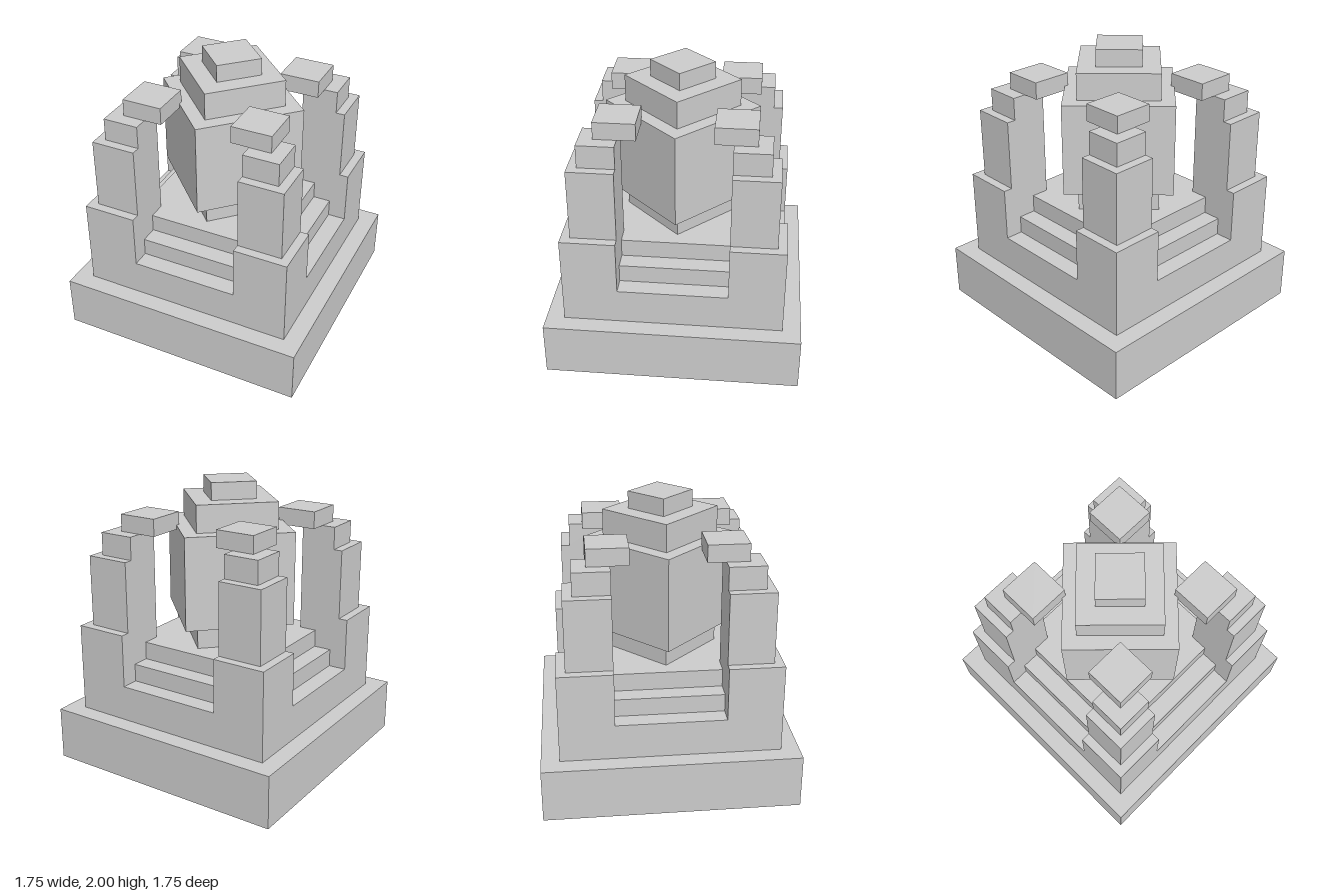
import * as THREE from 'three';

export function createModel() {
  const model = new THREE.Group();
  model.name = 'shrine';
  const stone = new THREE.MeshStandardMaterial({ color: 0xcccccc });
  stone.name = 'grey stone';

  // Square block centred on (x, z), spanning y0 to y1
  function block(parent, name, size, y0, y1, x = 0, z = 0, turn = 0) {
    const mesh = new THREE.Mesh(new THREE.BoxGeometry(size, y1 - y0, size), stone);
    mesh.name = name;
    mesh.position.set(x, (y0 + y1) / 2, z);
    mesh.rotation.y = turn;
    parent.add(mesh);
  }

  // Stepped platform: half width, bottom, top
  const platform = new THREE.Group();
  platform.name = 'platform';
  model.add(platform);
  [
    ['base', 0.875, 0, 0.375],
    ['lowerTerrace', 0.75, 0.375, 0.625],
    ['middleStep', 0.625, 0.625, 0.75],
    ['upperStep', 0.5, 0.75, 0.875],
  ].forEach(([name, half, y0, y1]) => block(platform, name, half * 2, y0, y1));

  // Four corner pillars: inner edge, outer edge, bottom, top
  const tiers = [
    ['pillarFoot', 0.375, 0.75, 0.625, 1],
    ['pillarShaft', 0.375, 0.6875, 1, 1.5],
    ['pillarNeck', 0.375, 0.625, 1.5, 1.66],
    ['pillarCap', 0.25, 0.53, 1.66, 1.78],
  ];
  for (const sx of [-1, 1]) {
    for (const sz of [-1, 1]) {
      const pillar = new THREE.Group();
      pillar.name = (sz > 0 ? 'front' : 'back') + (sx > 0 ? 'Left' : 'Right') + 'Pillar';
      model.add(pillar);
      for (const [name, inner, outer, y0, y1] of tiers) {
        const mid = (inner + outer) / 2;
        block(pillar, name, outer - inner, y0, y1, sx * mid, sz * mid);
      }
    }
  }

  // Central monument turned by 45 degrees: half diagonal, bottom, top
  const monument = new THREE.Group();
  monument.name = 'monument';
  model.add(monument);
  [
    ['monumentFoot', 0.395, 0.875, 1.04],
    ['monumentBody', 0.53, 1.04, 1.69],
    ['monumentShoulder', 0.395, 1.69, 1.88],
    ['monumentTop', 0.22, 1.88, 2],
  ].forEach(([name, diag, y0, y1]) =>
    block(monument, name, diag * Math.SQRT2, y0, y1, 0, 0, Math.PI / 4));

  return model;
}
